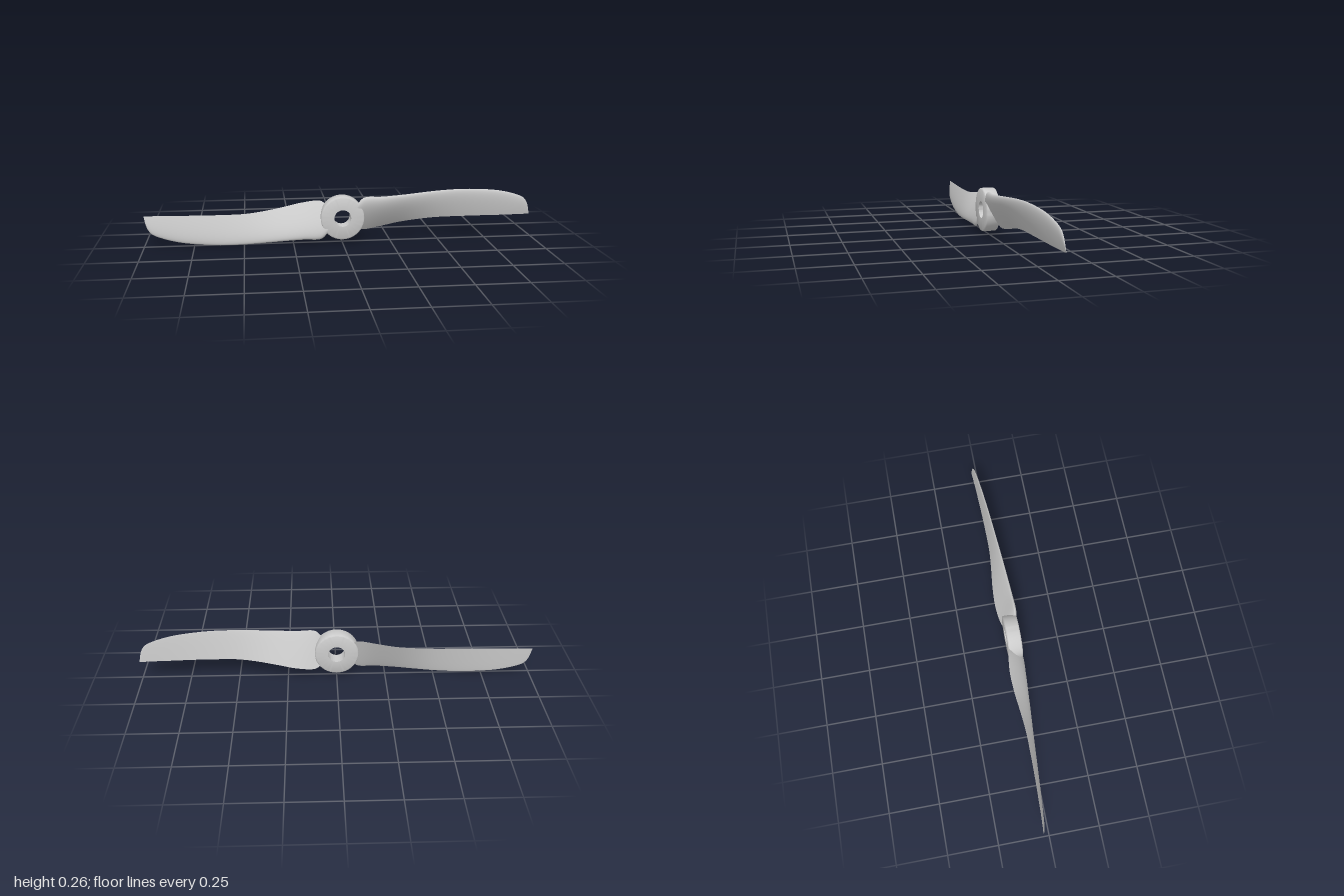
import * as THREE from 'three';
import { toCreasedNormals } from 'three/addons/utils/BufferGeometryUtils.js';

const CY = 0.131; // height of the rotation axis

// Edge stations [x, y, z], listed from root to tip
const LEADING = [
  [0.05, 0.175, 0.035], [0.08, 0.21, 0.037], [0.11, 0.236, 0.038], [0.2, 0.238, 0.036],
  [0.3, 0.244, 0.031], [0.4, 0.252, 0.024], [0.5, 0.259, 0.016], [0.62, 0.262, 0.007],
  [0.74, 0.256, -0.003], [0.83, 0.245, -0.011], [0.91, 0.225, -0.018], [0.96, 0.204, -0.023],
  [0.98, 0.182, -0.026], [0.99, 0.158, -0.028], [1, 0.114, -0.032],
];
const TRAILING = [
  [0.05, 0.09, -0.012], [0.08, 0.068, -0.022], [0.11, 0.052, -0.032], [0.2, 0.062, -0.044],
  [0.3, 0.083, -0.041], [0.4, 0.099, -0.03], [0.5, 0.109, -0.021], [0.62, 0.111, -0.02],
  [0.74, 0.111, -0.022], [0.83, 0.11, -0.025], [0.91, 0.11, -0.028], [0.96, 0.11, -0.031],
  [0.98, 0.11, -0.032], [0.99, 0.11, -0.033], [1, 0.11, -0.033],
];

const edgeCurve = (pts) => new THREE.CatmullRomCurve3(
  pts.map(([x, y, z]) => new THREE.Vector3(x, y - CY, z)), false, 'centripetal');

// Airfoil thickness at s (0 = leading edge, 1 = trailing edge), peak 1
const airfoil = (s) => Math.max(0, 10 * (0.2969 * Math.sqrt(s) - 0.126 * s
  - 0.3516 * s ** 2 + 0.2843 * s ** 3 - 0.1036 * s ** 4));

// Twisted blade lofted from airfoil sections: domed front, nearly flat back
function bladeGeometry() {
  const lead = edgeCurve(LEADING), trail = edgeCurve(TRAILING);
  const rings = 112, half = 20, cols = 2 * half + 1;
  const pos = [], index = [];
  for (let i = 0; i <= rings; i++) {
    const a = lead.getPoint(i / rings), b = trail.getPoint(i / rings);
    const chord = new THREE.Vector3().subVectors(b, a);
    const normal = new THREE.Vector3(0, chord.z, -chord.y).normalize();
    const thick = chord.length() * THREE.MathUtils.lerp(0.15, 0.09, Math.min(1, a.x / 0.6));
    for (let j = 0; j < cols; j++) {
      // trailing edge -> front -> leading edge -> back -> trailing edge
      const s = (1 + Math.cos((j / half) * Math.PI)) / 2;
      const offset = airfoil(s) * thick * (j <= half ? 0.88 : -0.12);
      const p = a.clone().addScaledVector(chord, s).addScaledVector(normal, offset);
      pos.push(p.x, p.y, p.z);
      if (i < rings && j < cols - 1) {
        const k = i * cols + j, n = k + cols;
        index.push(k, n, k + 1, n, n + 1, k + 1);
      }
    }
  }
  const geo = new THREE.BufferGeometry();
  geo.setAttribute('position', new THREE.Float32BufferAttribute(pos, 3));
  geo.setIndex(index);
  geo.computeVertexNormals();
  return geo;
}

// Ring-shaped hub with softened outer rims and a through bore
function hubGeometry() {
  const R = 0.111, r = 0.043, z0 = -0.027, z1 = 0.044, e = 0.006, d = 0.002;
  const profile = [
    [r, z0], [R - e, z0], [R - d, z0 + d], [R, z0 + e],
    [R, z1 - e], [R - d, z1 - d], [R - e, z1], [r, z1], [r, z0],
  ].map(([x, y]) => new THREE.Vector2(x, y));
  const geo = new THREE.LatheGeometry(profile, 72);
  geo.rotateX(Math.PI / 2);
  return toCreasedNormals(geo, 0.85);
}

export function createModel() {
  const material = new THREE.MeshStandardMaterial({ color: 0xcccccc, side: THREE.DoubleSide });
  const propeller = new THREE.Group();
  propeller.name = 'propeller';
  propeller.position.y = CY;

  const hub = new THREE.Mesh(hubGeometry(), material);
  hub.name = 'hub';
  propeller.add(hub);

  // Two identical blades, half a turn apart
  const geo = bladeGeometry();
  ['leftBlade', 'rightBlade'].forEach((name, i) => {
    const blade = new THREE.Mesh(geo, material);
    blade.name = name;
    blade.rotation.z = i * Math.PI;
    propeller.add(blade);
  });

  const model = new THREE.Group();
  model.add(propeller);
  return model;
}
